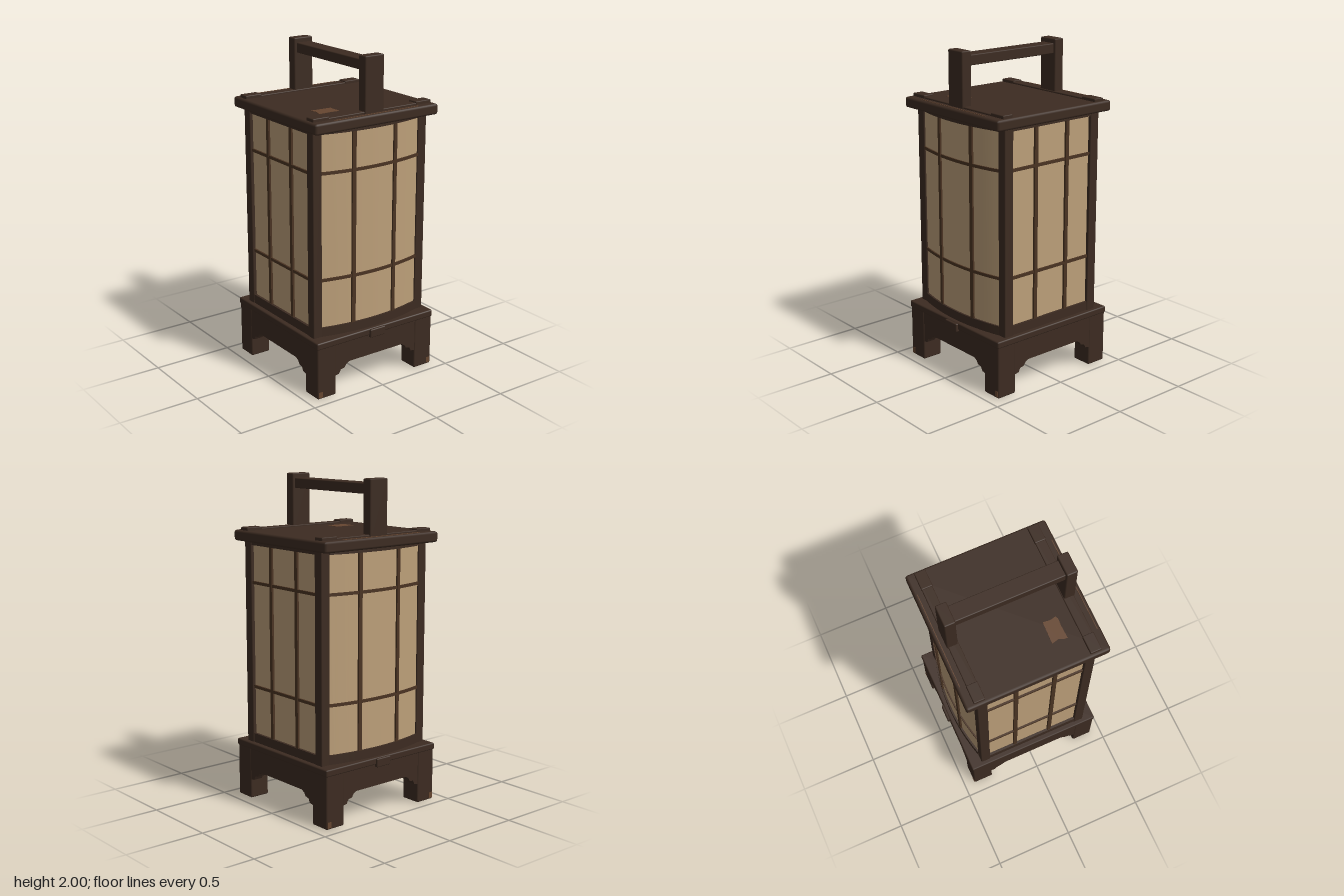
import * as THREE from 'three';
import { toCreasedNormals } from 'three/addons/utils/BufferGeometryUtils.js';
import { RoundedBoxGeometry } from 'three/addons/geometries/RoundedBoxGeometry.js';

const mat = (name, color) => new THREE.MeshStandardMaterial({ name, color });

export function createModel() {
  const wood = mat('dark wood', 0x3c2b21);
  const lattice = mat('lattice wood', 0x4a3322);
  const worn = mat('worn wood', 0x664630);
  const paper = mat('paper', 0xbc9f79);
  const shade = mat('underside', 0x241b14);

  const lantern = new THREE.Group();
  lantern.name = 'lantern';

  const add = (parent, name, geometry, material) => {
    const mesh = new THREE.Mesh(geometry, material);
    mesh.name = name;
    parent.add(mesh);
    return mesh;
  };
  // Box given by its extents, with softened edges when r > 0
  const box = (parent, name, material, [x0, x1], [y0, y1], [z0, z1], r = 0) => {
    const s = [x1 - x0, y1 - y0, z1 - z0];
    const g = r ? new RoundedBoxGeometry(...s, 1, r) : new THREE.BoxGeometry(...s);
    g.translate((x0 + x1) / 2, (y0 + y1) / 2, (z0 + z1) / 2);
    return add(parent, name, g, material);
  };
  // Outward bow of the front and back faces
  const bowZ = x => 0.35 + 0.05 * (1 - (x / 0.36) ** 2);
  // Upright slab following the bow between x0 and x1
  const bowed = (parent, name, material, [x0, x1], [y0, y1], [inner, outer]) => {
    const n = Math.max(2, Math.ceil((x1 - x0) * 24));
    const points = [];
    for (let i = 0; i <= n; i++) {
      const x = x0 + (x1 - x0) * i / n;
      points.push(new THREE.Vector2(x, bowZ(x) + inner));
    }
    for (let i = n; i >= 0; i--) {
      const x = x0 + (x1 - x0) * i / n;
      points.push(new THREE.Vector2(x, bowZ(x) + outer));
    }
    const g = new THREE.ExtrudeGeometry(new THREE.Shape(points), { depth: y1 - y0, bevelEnabled: false });
    g.rotateX(Math.PI / 2).translate(0, y1, 0);
    return add(parent, name, toCreasedNormals(g, 0.6), material);
  };

  // Base apron with stepped brackets under its ends
  const half = [[0.305, 0.12], [0.275, 0.125], [0.262, 0.15], [0.235, 0.155], [0.222, 0.175], [0.2, 0.188]];
  const apron = new THREE.Shape();
  apron.moveTo(-0.305, 0.34);
  half.forEach(([x, y]) => apron.lineTo(-x, y));
  [...half].reverse().forEach(([x, y]) => apron.lineTo(x, y));
  apron.lineTo(0.305, 0.34);
  const apronGeometry = new THREE.ExtrudeGeometry(apron, { depth: 0.06, bevelEnabled: false });
  apronGeometry.translate(0, 0, 0.368);

  const base = new THREE.Group();
  base.name = 'base';
  lantern.add(base);
  for (let i = 0; i < 4; i++) add(base, 'apron', apronGeometry, wood).rotation.y = i * Math.PI / 2;
  for (const sx of [-1, 1]) for (const sz of [-1, 1]) {
    const leg = box(base, 'leg', wood, [-0.065, 0.065], [0, 0.345], [-0.065, 0.065], 0.008);
    leg.position.set(sx * 0.365, 0, sz * 0.367);
    // Rubbed foot corners
    const foot = box(base, 'wornFoot', worn, [-0.013, 0.013], [0.008, 0.045], [-0.002, 0.002]);
    foot.position.set(sx * 0.41, 0, sz * 0.4315);
  }
  box(base, 'baseTop', wood, [-0.434, 0.434], [0.32, 0.362], [-0.437, 0.437], 0.008);
  box(base, 'baseFloor', shade, [-0.37, 0.37], [0.29, 0.319], [-0.37, 0.37]);
  for (const s of [-1, 1]) {
    const tab = box(base, 'tab', wood, [-0.055, 0.055], [0.305, 0.358], [-0.02, 0.02], 0.006);
    tab.position.z = s * 0.43;
  }

  // Corner posts
  for (const sx of [-1, 1]) for (const sz of [-1, 1]) {
    const post = box(lantern, 'cornerPost', wood, [-0.03, 0.03], [0.35, 1.62], [-0.031, 0.031], 0.005);
    post.position.set(sx * 0.378, 0, sz * 0.331);
  }

  // Bowed front and back windows
  for (const [name, turn] of [['frontWindow', 0], ['backWindow', Math.PI]]) {
    const g = new THREE.Group();
    g.name = name;
    g.rotation.y = turn;
    lantern.add(g);
    bowed(g, 'paperPanel', paper, [-0.352, 0.352], [0.4, 1.61], [-0.02, 0]);
    bowed(g, 'bottomRail', wood, [-0.352, 0.352], [0.35, 0.418], [-0.03, 0.012]);
    bowed(g, 'topRail', wood, [-0.352, 0.352], [1.588, 1.62], [-0.03, 0.012]);
    for (const y of [0.715, 1.36]) bowed(g, 'crossBar', lattice, [-0.352, 0.352], [y - 0.009, y + 0.009], [-0.01, 0.009]);
    for (const x of [-0.148, 0.148]) bowed(g, 'uprightBar', lattice, [x - 0.012, x + 0.012], [0.41, 1.6], [-0.01, 0.011]);
  }

  // Flat side windows
  for (const s of [-1, 1]) {
    const g = new THREE.Group();
    g.name = s > 0 ? 'leftWindow' : 'rightWindow';
    g.rotation.y = s * Math.PI / 2;
    lantern.add(g);
    box(g, 'paperPanel', paper, [-0.305, 0.305], [0.4, 1.61], [0.37, 0.388]);
    box(g, 'bottomRail', wood, [-0.305, 0.305], [0.35, 0.418], [0.36, 0.404]);
    box(g, 'topRail', wood, [-0.305, 0.305], [1.588, 1.62], [0.36, 0.404]);
    for (const y of [0.715, 1.36]) box(g, 'crossBar', lattice, [-0.305, 0.305], [y - 0.009, y + 0.009], [0.38, 0.399]);
    for (const x of [-0.12, 0.12]) box(g, 'uprightBar', lattice, [x - 0.012, x + 0.012], [0.41, 1.6], [0.38, 0.401]);
  }

  // Roof slab, raised battens and end blocks
  const roof = new THREE.Group();
  roof.name = 'roof';
  lantern.add(roof);
  box(roof, 'roofSlab', wood, [-0.437, 0.437], [1.607, 1.672], [-0.435, 0.435], 0.014);
  for (const s of [-1, 1]) {
    const batten = box(roof, 'batten', wood, [-0.42, 0.42], [1.66, 1.682], [-0.032, 0.032], 0.005);
    batten.position.z = s * 0.35;
    for (const t of [-1, 1]) {
      const block = box(roof, 'battenEnd', wood, [-0.055, 0.055], [1.66, 1.691], [-0.034, 0.034], 0.005);
      block.position.set(t * 0.365, 0, s * 0.35);
    }
    const edge = box(roof, 'wornEdge', worn, [-0.3, 0.3], [1.671, 1.675], [-0.002, 0.002]);
    edge.position.z = s * 0.415;
  }

  // Irregular worn patch on the roof
  const patch = new THREE.Shape([
    [-0.277, -0.15], [-0.14, -0.155], [-0.145, -0.2], [-0.137, -0.235], [-0.155, -0.243], [-0.2, -0.24],
    [-0.28, -0.243], [-0.278, -0.222], [-0.265, -0.195],
  ].map(p => new THREE.Vector2(...p)));
  const patchGeometry = new THREE.ExtrudeGeometry(patch, { depth: 0.003, bevelEnabled: false });
  patchGeometry.rotateX(-Math.PI / 2).translate(0, 1.671, 0);
  add(roof, 'wornPatch', patchGeometry, worn);

  // Carrying handle
  const handle = new THREE.Group();
  handle.name = 'handle';
  lantern.add(handle);
  for (const s of [-1, 1]) {
    const post = box(handle, 'handlePost', wood, [-0.066, 0.066], [1.65, 2], [-0.033, 0.033], 0.007);
    post.position.z = s * 0.356;
  }
  box(handle, 'handleBar', wood, [-0.05, 0.05], [1.91, 1.972], [-0.34, 0.34], 0.006);

  return lantern;
}
